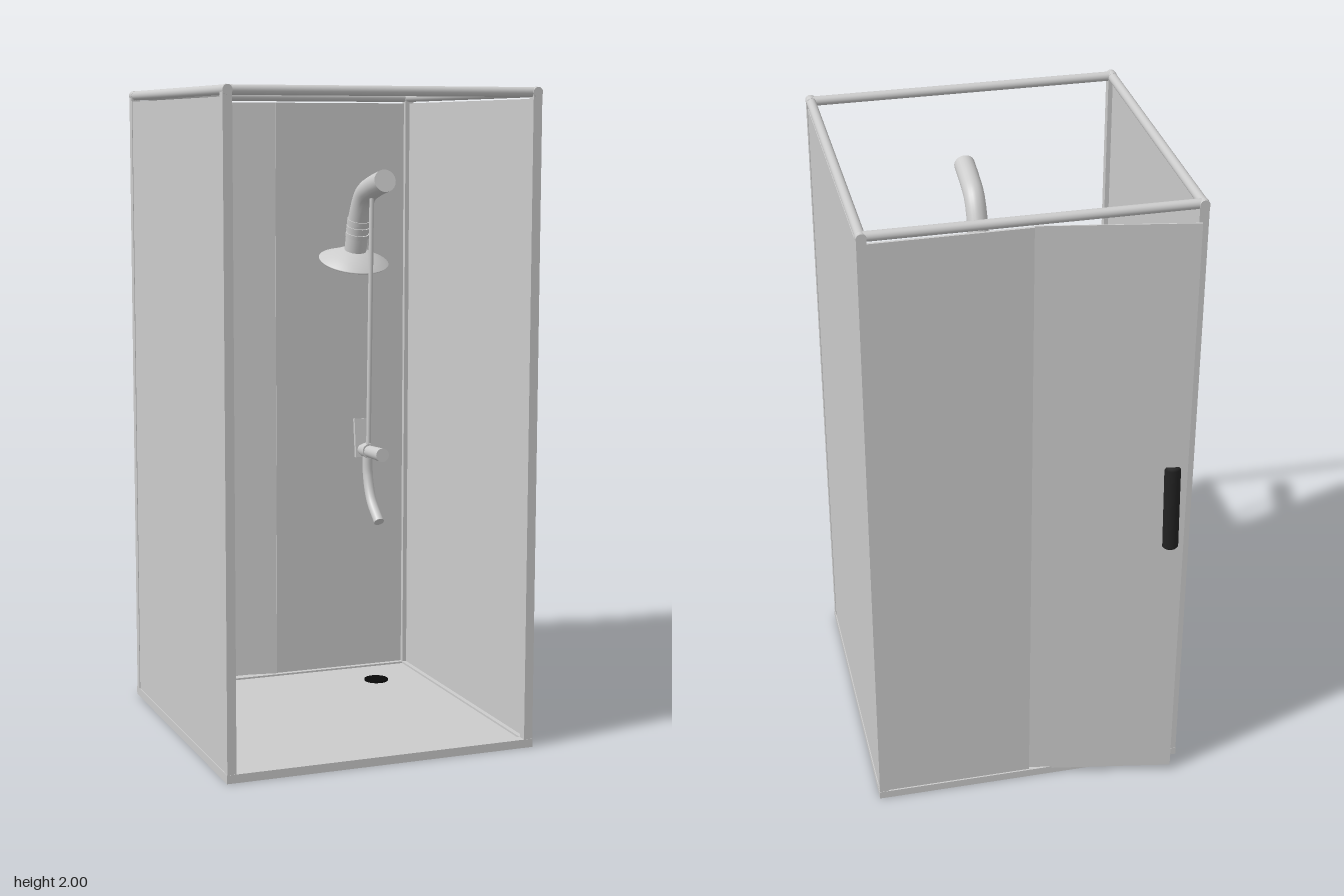
import * as THREE from 'three';

const grey = new THREE.MeshStandardMaterial({ color: 0xcccccc });
const glass = new THREE.MeshStandardMaterial({ color: 0xcccccc, side: THREE.DoubleSide });
const dark = new THREE.MeshStandardMaterial({ color: 0x222222 });
const black = new THREE.MeshStandardMaterial({ color: 0x080808 });

const X = 0.477, BACK = -0.441, FRONT = 0.511, TOP = 1.984;
const MID = (FRONT + BACK) / 2, DEPTH = FRONT - BACK;

export function createModel() {
  const model = new THREE.Group();
  model.name = 'showerCabin';

  const add = (name, geometry, material = grey, parent = model) => {
    const mesh = new THREE.Mesh(geometry, material);
    mesh.name = name;
    parent.add(mesh);
    return mesh;
  };
  const box = (name, w, h, d, x, y, z, material, parent) => {
    const mesh = add(name, new THREE.BoxGeometry(w, h, d), material, parent);
    mesh.position.set(x, y, z);
    return mesh;
  };
  // Cylinder running from point a to point b
  const rod = (name, a, b, ra, rb = ra, parent = model) => {
    const p = new THREE.Vector3(...a), q = new THREE.Vector3(...b);
    const mesh = add(name, new THREE.CylinderGeometry(rb, ra, p.distanceTo(q), 24), grey, parent);
    mesh.position.copy(p).add(q).multiplyScalar(0.5);
    mesh.quaternion.setFromUnitVectors(new THREE.Vector3(0, 1, 0), q.sub(p).normalize());
    return mesh;
  };
  // Round pipe through points, closed with a disc at both ends
  const pipe = (name, points, r, parent) => {
    const curve = new THREE.CatmullRomCurve3(points.map(p => new THREE.Vector3(...p)));
    add(name, new THREE.TubeGeometry(curve, 32, r, 20), grey, parent);
    for (const t of [0, 1]) {
      const cap = add(name + 'End', new THREE.CircleGeometry(r, 20), grey, parent);
      cap.position.copy(curve.getPointAt(t));
      const out = curve.getTangentAt(t).multiplyScalar(t ? 1 : -1);
      cap.quaternion.setFromUnitVectors(new THREE.Vector3(0, 0, 1), out);
    }
  };

  // Floor tray and lower frame
  box('floorTray', 2 * X, 0.02, DEPTH, 0, 0.01, MID);
  for (const z of [BACK, FRONT]) box('bottomRail', 2 * X + 0.03, 0.026, 0.03, 0, 0.013, z);
  for (const s of [-1, 1]) box('sideBottomRail', 0.03, 0.026, DEPTH, s * X, 0.013, MID);

  // Posts, corner joints and top rails
  for (const x of [-X, X]) {
    for (const z of [BACK, FRONT]) {
      box('cornerPost', 0.028, TOP, 0.028, x, TOP / 2, z);
      add('cornerJoint', new THREE.SphereGeometry(0.016, 16, 12)).position.set(x, TOP, z);
      rod('jointCollar', [x, TOP, z + 0.016], [x, TOP, z - 0.016], 0.015);
    }
    rod('sideTopRail', [x, TOP, BACK], [x, TOP, FRONT], 0.0145);
  }
  for (const z of [BACK, FRONT]) rod('topRail', [-X, TOP, z], [X, TOP, z], 0.0145);

  // Side walls and the fixed half of the back
  for (const s of [-1, 1]) box('sidePanel', 0.012, 1.945, DEPTH - 0.02, s * (X + 0.006), 0.9925, MID, glass);
  box('fixedBackPanel', X - 0.012, 1.945, 0.008, X / 2 - 0.004, 0.9925, BACK - 0.006, glass);

  // Door, hinged mid-back and standing ajar
  const door = new THREE.Group();
  door.name = 'door';
  door.position.set(0, 0, BACK);
  door.rotation.y = -0.177;
  model.add(door);
  box('doorPanel', 0.458, 1.945, 0.004, -0.229, 0.9925, 0, glass, door);

  // Grip with softened ends, passing through the door
  const gripProfile = [[0, -0.145], [0.022, -0.145], [0.027, -0.138], [0.027, 0.138], [0.022, 0.145], [0, 0.145]];
  const grip = add('doorHandle', new THREE.LatheGeometry(gripProfile.map(p => new THREE.Vector2(...p)), 16), dark);
  grip.position.set(-0.411, 1.03, -0.506);
  grip.rotation.z = -0.02;

  // Floor drain
  add('drain', new THREE.CylinderGeometry(0.04, 0.04, 0.008, 24), black).position.set(0.295, 0.022, -0.26);

  // Overhead shower: arm, ribbed collar and tilted conical head
  const shower = new THREE.Group();
  shower.name = 'shower';
  model.add(shower);
  pipe('showerArm', [[0, 1.73, 0.511], [0, 1.712, 0.43], [0, 1.685, 0.36], [0, 1.62, 0.315], [0, 1.515, 0.28]], 0.033, shower);
  for (let i = 0; i < 3; i++) {
    const y = 1.612 - i * 0.02, z = 0.312 - i * 0.0065;
    rod('collarRing', [0, y, z], [0, y - 0.012, z - 0.004], 0.0355, 0.0355, shower);
  }
  const headProfile = [[0, -0.006], [0.1, -0.006], [0.105, 0], [0.07, 0.016], [0.036, 0.034], [0, 0.036]];
  const head = add('showerHead', new THREE.LatheGeometry(headProfile.map(p => new THREE.Vector2(...p)), 40), grey, shower);
  head.position.set(0, 1.488, 0.268);
  head.rotation.x = 0.31;

  // Riser, mixer valve with lever, and curved outlet pipe
  rod('riser', [-0.012, 0.93, 0.42], [-0.004, 1.69, 0.42], 0.007, 0.007, shower);
  rod('mixerBody', [-0.012, 0.937, 0.53], [-0.012, 0.93, 0.36], 0.02, 0.016, shower);
  rod('mixerRing', [-0.012, 0.934, 0.43], [-0.012, 0.933, 0.4], 0.022, 0.022, shower);
  const lever = box('mixerLever', 0.044, 0.115, 0.012, -0.012, 0.965, 0.365, grey, shower);
  lever.rotation.x = -0.12;
  pipe('outletPipe', [[-0.012, 0.93, 0.415], [-0.012, 0.86, 0.417], [-0.012, 0.79, 0.445], [-0.012, 0.735, 0.505]], 0.015, shower);

  return model;
}
